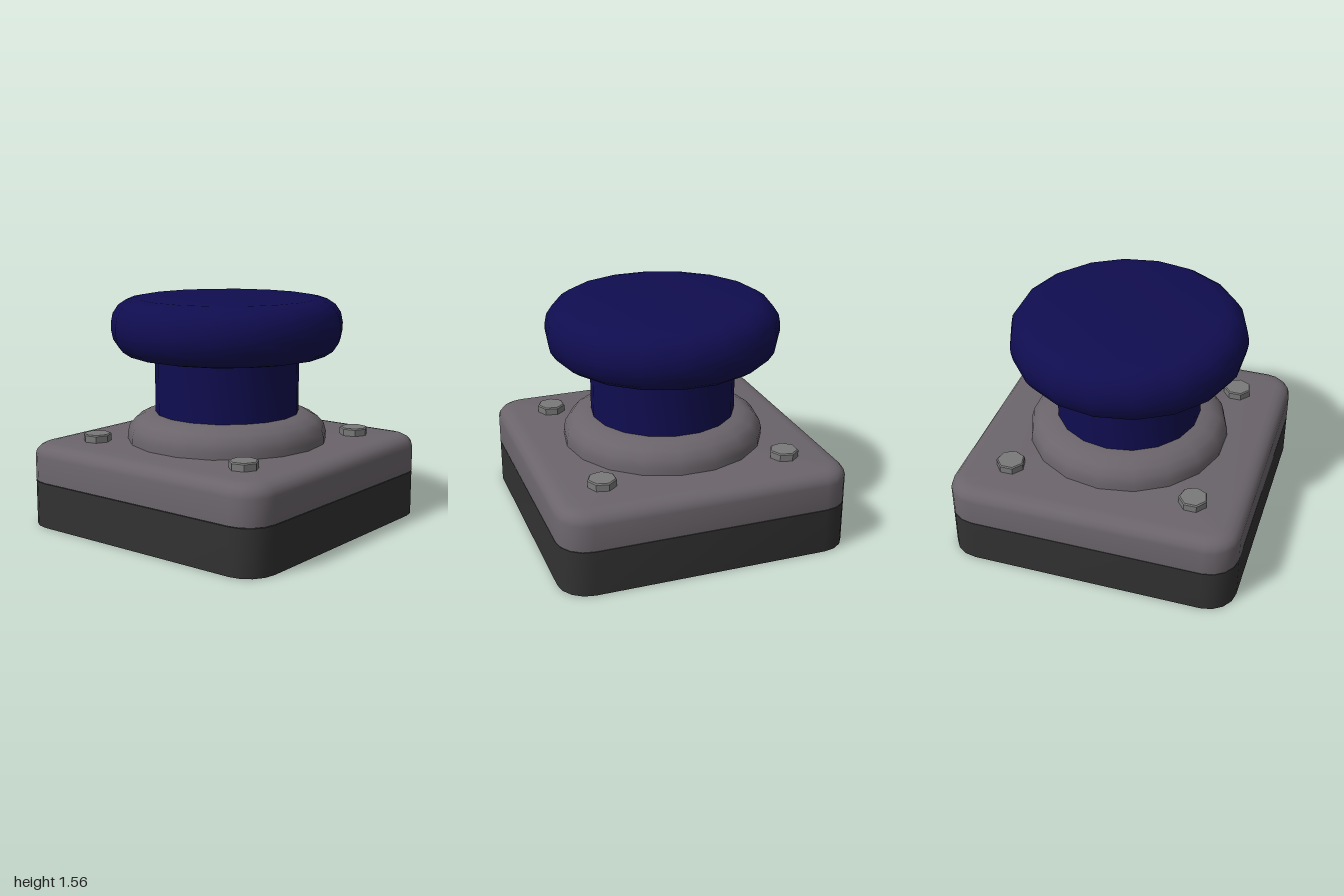
import * as THREE from 'three';
import { toCreasedNormals } from 'three/addons/utils/BufferGeometryUtils.js';

const CREASE = 0.7;
const mat = (color) => new THREE.MeshStandardMaterial({ color, roughness: 0.8 });

// Closed loft through rounded-square rings given as [inset, y]
function roundedBlock(rings, half = 1, radius = 0.2, steps = 4) {
  const pos = [], idx = [], n = 4 * (steps + 1);
  for (const [inset, y] of rings) {
    const c = half - radius, r = radius - inset;
    for (let q = 0; q < 4; q++) {
      const sx = q === 0 || q === 3 ? 1 : -1, sz = q < 2 ? 1 : -1;
      for (let s = 0; s <= steps; s++) {
        const a = (q + s / steps) * Math.PI / 2;
        pos.push(sx * c + r * Math.cos(a), y, sz * c + r * Math.sin(a));
      }
    }
  }
  for (let i = 0; i < rings.length - 1; i++) {
    for (let j = 0; j < n; j++) {
      const a = i * n + j, b = i * n + (j + 1) % n;
      idx.push(a, a + n, b, b, a + n, b + n);
    }
  }
  // Bottom and top caps as fans
  const last = (rings.length - 1) * n, bottom = rings.length * n, top = bottom + 1;
  pos.push(0, rings[0][1], 0, 0, rings[rings.length - 1][1], 0);
  for (let j = 0; j < n; j++) {
    const k = (j + 1) % n;
    idx.push(bottom, j, k, top, last + k, last + j);
  }
  const g = new THREE.BufferGeometry();
  g.setAttribute('position', new THREE.Float32BufferAttribute(pos, 3));
  g.setIndex(idx);
  return toCreasedNormals(g, CREASE);
}

// Turned part from [radius, y] pairs listed bottom to top, a corner pointing to +x
function turned(profile, sides) {
  const start = Math.PI / 2 - Math.floor(sides / 4) * 2 * Math.PI / sides;
  const pts = profile.map(([r, y]) => new THREE.Vector2(r, y));
  return toCreasedNormals(new THREE.LatheGeometry(pts, sides, start), CREASE);
}

// Quarter-ellipse edge as [inset, y], rising from the side to the flat top
function roundEdge(width, height, yTop, steps = 4) {
  return Array.from({ length: steps + 1 }, (_, i) => {
    const a = i / steps * Math.PI / 2;
    return [width * (1 - Math.cos(a)), yTop - height * (1 - Math.sin(a))];
  });
}

export function createModel() {
  const group = new THREE.Group();
  const dark = mat(0x323232), grey = mat(0x6b656b), blue = mat(0x100d50), steel = mat(0x7a7a7a);
  const add = (name, geometry, material) => {
    const m = new THREE.Mesh(geometry, material);
    m.name = name;
    group.add(m);
    return m;
  };

  // Square housing in two halves with a fine seam
  add('base', roundedBlock([[0, 0], [0, 0.313]]), dark);
  add('housing', roundedBlock([[0, 0.317], ...roundEdge(0.11, 0.085, 0.577)]), grey);

  // Domed collar around the stem
  const dome = roundEdge(0.2, 0.15, 0.77).map(([d, y]) => [0.695 - d, y]);
  add('collar', turned([[0, 0.57], [0.695, 0.57], ...dome, [0, 0.77]], 18), grey);

  // Push button: stem and mushroom cap
  add('stem', turned([[0, 0.76], [0.5, 0.76], [0.5, 1.18], [0, 1.18]], 18), blue);
  const upper = roundEdge(0.175, 0.175, 1.562).map(([d, y]) => [0.8 - d, y]);
  const lower = upper.map(([r, y]) => [r, 2.727 - y]).reverse();
  add('buttonCap', turned([[0, 1.165], ...lower, ...upper, [0, 1.562]], 18), blue);

  // Seven-sided corner bolts
  const bolt = turned([[0, 0.56], [0.098, 0.56], [0.098, 0.622], [0.09, 0.63], [0, 0.63]], 7);
  for (const x of [-0.64, 0.64]) {
    for (const z of [-0.64, 0.64]) {
      const side = (z > 0 ? 'front' : 'back') + (x > 0 ? 'Left' : 'Right');
      add(side + 'Bolt', bolt, steel).position.set(x, 0, z);
    }
  }
  return group;
}
